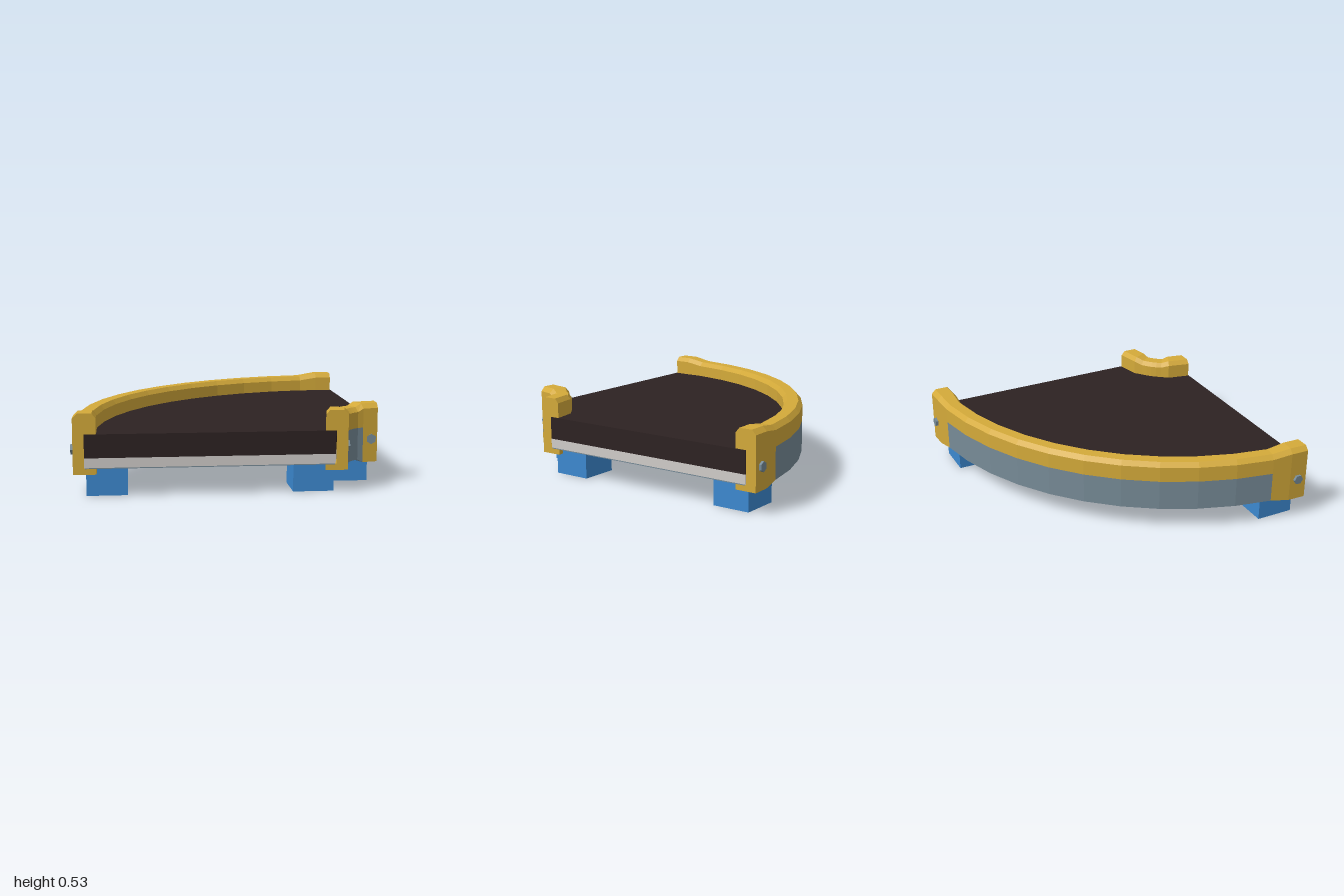
import * as THREE from 'three';

const mat = (name, color, extra = {}) => {
  const m = new THREE.MeshStandardMaterial({ color, flatShading: true, ...extra });
  m.name = name;
  return m;
};

// C-shaped rail section as [distance outwards from the belt, height]
const END = [[0, .145], [.145, .145], [.145, .375], [.145, .5], [.115, .53], [.025, .53], [0, .5],
  [0, .4], [.07, .4], [.07, .185], [0, .185]];
const MID = [[.012, .165], [.138, .165], [.138, .375], [.138, .48], [.11, .51], [.035, .51], [.012, .48],
  [.012, .4], [.07, .4], [.07, .185], [.012, .185]];
const PANEL_EDGES = [0, 1, 10]; // underside, lower outer face and lower lip
const CENTRE = 0.99;

// Sweeps the section round the corner; the ends use the taller section.
function railGeometry(radius, dir, capAngle, slopeAngle, steps, panelFrom) {
  const stations = [[0, END], [capAngle, END]];
  for (let i = 0; i <= steps; i++) stations.push([slopeAngle + (90 - 2 * slopeAngle) * i / steps, MID]);
  stations.push([90 - capAngle, END], [90, END]);

  const rings = stations.map(([deg, section]) => {
    const a = THREE.MathUtils.degToRad(deg);
    return section.map(([w, y]) => {
      const r = radius + dir * w;
      return [CENTRE - r * Math.cos(a), y, CENTRE - r * Math.sin(a)];
    });
  });

  const frame = [], panel = [];
  const tri = (out, a, b, c) => out.push(...a, ...(dir > 0 ? [...b, ...c] : [...c, ...b]));
  const n = END.length;
  for (let s = 0; s < rings.length - 1; s++) {
    const A = rings[s], B = rings[s + 1];
    const isPanel = s >= panelFrom && s < rings.length - 1 - panelFrom;
    for (let i = 0; i < n; i++) {
      const j = (i + 1) % n;
      const out = isPanel && PANEL_EDGES.includes(i) ? panel : frame;
      tri(out, A[i], A[j], B[j]);
      tri(out, A[i], B[j], B[i]);
    }
  }
  // end faces
  const first = rings[0], last = rings[rings.length - 1];
  for (const fan of [[8, 9, 1, 2, 3, 4, 5, 6, 7], [9, 10, 0, 1]]) {
    for (let k = 1; k < fan.length - 1; k++) {
      const [a, b, c] = [fan[0], fan[k], fan[k + 1]];
      tri(frame, last[a], last[b], last[c]);
      tri(frame, first[a], first[c], first[b]);
    }
  }
  const g = new THREE.BufferGeometry();
  g.setAttribute('position', new THREE.Float32BufferAttribute([...frame, ...panel], 3));
  g.addGroup(0, frame.length / 3, 0);
  g.addGroup(frame.length / 3, panel.length / 3, 1);
  g.computeVertexNormals();
  return g;
}

// Quarter-ring slab between two heights
function slabGeometry(inner, outer, y0, y1) {
  const c = 0.995, pts = [], steps = 12;
  const add = (r, i) => {
    const a = Math.PI / 2 * (1 + i / steps);
    pts.push(new THREE.Vector2(c + r * Math.cos(a), -c + r * Math.sin(a)));
  };
  for (let i = 0; i <= steps; i++) add(outer, i);
  for (let i = steps; i >= 0; i--) add(inner, i);
  const g = new THREE.ExtrudeGeometry(new THREE.Shape(pts), { depth: y1 - y0, bevelEnabled: false });
  return g.rotateX(-Math.PI / 2).translate(0, y0, 0);
}

export function createModel() {
  const yellow = mat('yellow frame', 0xd4aa3a);
  const steel = mat('blue grey steel', 0x778b97);
  const rubber = mat('dark belt', 0x2d2222);
  const pale = mat('pale bed', 0xd0ccc9);
  const blue = mat('blue feet', 0x3c89d0);

  const model = new THREE.Group();
  model.name = 'curvedConveyor';
  const add = (name, geometry, material, x = 0, y = 0, z = 0) => {
    const m = new THREE.Mesh(geometry, material);
    m.name = name;
    m.position.set(x, y, z);
    model.add(m);
    return m;
  };

  // belt and its bed
  add('belt', slabGeometry(0.33, 1.91, 0.25, 0.4), rubber);
  add('bed', slabGeometry(0.33, 1.91, 0.188, 0.25), pale);
  add('bedUnderside', slabGeometry(0.335, 1.905, 0.182, 0.188), steel);

  // guard rails
  add('outerRail', railGeometry(1.83, 1, 3.6, 7.5, 10, 2), [yellow, steel]);
  add('innerRail', railGeometry(0.39, -1, 24, 33, 4, 1), [yellow, steel]);

  // feet and bolts, mirrored across the diagonal
  const foot = new THREE.BoxGeometry(0.26, 0.185, 0.26);
  const bolt = new THREE.CylinderGeometry(0.034, 0.034, 0.04, 6);
  for (const swap of [false, true]) {
    const place = (name, geometry, material, x, y, z) =>
      swap ? add(name, geometry, material, z, y, x) : add(name, geometry, material, x, y, z);
    place('outerFoot', foot, blue, -0.775, 0.0925, 0.815);
    place('innerFoot', foot, blue, 0.533, 0.0925, 0.815);
    for (const [name, x, z] of [['outerBolt', -0.98, 0.925], ['innerBolt', 0.74, 0.948]]) {
      const b = place(name, bolt, steel, x, 0.297, z);
      if (swap) b.rotation.x = Math.PI / 2;
      else b.rotation.z = Math.PI / 2;
    }
  }
  return model;
}
